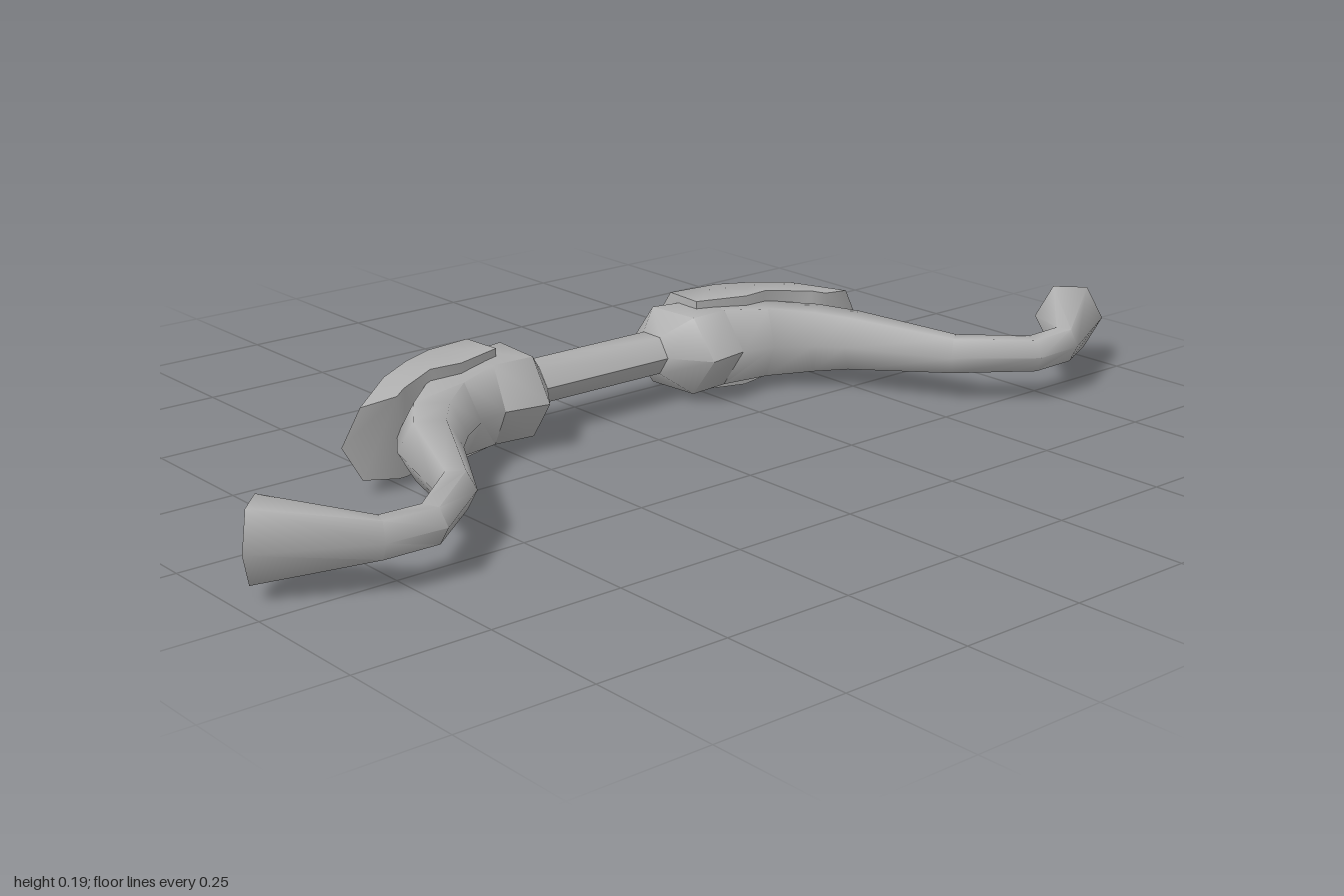
import * as THREE from 'three';
import { mergeVertices, toCreasedNormals } from 'three/addons/utils/BufferGeometryUtils.js';

const MID = 0.094; // height of the bow's mid plane
const metal = new THREE.MeshStandardMaterial({ color: 0xb0b0b0 });
metal.name = 'grey metal';

// Skin a row of closed rings and cap both ends; side = -1 mirrors in z
function loft(name, rings, side = 1) {
  const n = rings[0].length;
  const pos = [], idx = [];
  const tri = (a, b, c) => (side > 0 ? idx.push(a, b, c) : idx.push(a, c, b));
  for (const ring of rings) for (const [x, y, z] of ring) pos.push(x, MID + y, z * side);
  for (let i = 0; i < rings.length - 1; i++) {
    for (let j = 0; j < n; j++) {
      const a = i * n + j, b = i * n + (j + 1) % n;
      tri(a, b, b + n);
      tri(a, b + n, a + n);
    }
  }
  const end = (rings.length - 1) * n;
  for (let j = 1; j < n - 1; j++) {
    tri(0, j + 1, j);
    tri(end, end + j, end + j + 1);
  }
  const geo = new THREE.BufferGeometry();
  geo.setAttribute('position', new THREE.Float32BufferAttribute(pos, 3));
  geo.setIndex(idx);
  const mesh = new THREE.Mesh(toCreasedNormals(mergeVertices(geo), 1.12), metal);
  mesh.name = name;
  return mesh;
}

// Six-sided ring between an outer and an inner point, with half height h
function hexRing([ox, oz, ix, iz, h]) {
  return Array.from({ length: 6 }, (_, k) => {
    const a = k * Math.PI / 3, c = Math.cos(a) / 2;
    return [
      (ox + ix) / 2 + (ix - ox) * c,
      Math.sin(a) / Math.sin(Math.PI / 3) * h,
      (oz + iz) / 2 + (iz - oz) * c,
    ];
  });
}

// Guard ring: inner edge, shoulder and outer ridge, mirrored in height
function guardRing([ax, az, cx, cz, ch, ex, ez, eh]) {
  return [[ex, eh, ez], [cx, ch, cz], [ax, 0, az], [cx, -ch, cz], [ex, -eh, ez]];
}

// outer x, z, inner x, z, half height
const GRIP = [
  [-0.245, -0.16, -0.145, -0.16, 0.036],
  [-0.245, 0.16, -0.145, 0.16, 0.036],
];
const COLLAR = [
  [-0.245, 0.148, -0.145, 0.145, 0.037],
  [-0.292, 0.18, -0.07, 0.197, 0.076],
  [-0.27, 0.25, -0.085, 0.285, 0.075],
];
const LIMB = [
  [-0.27, 0.25, -0.085, 0.285, 0.075],
  [-0.2, 0.4, -0.068, 0.35, 0.068],
  [-0.105, 0.505, -0.025, 0.41, 0.06],
  [-0.03, 0.555, 0.02, 0.452, 0.052],
  [0.165, 0.615, 0.205, 0.558, 0.034],
  [0.25, 0.715, 0.313, 0.692, 0.031],
  [0.25, 0.785, 0.307, 0.805, 0.032],
  [0.11, 0.905, 0.207, 0.998, 0.063],
];
// ridge x, z, shoulder x, z, h, edge x, z, h
const GUARD = [
  [-0.316, 0.24, -0.255, 0.245, 0.09, -0.172, 0.24, 0.09],
  [-0.287, 0.36, -0.235, 0.345, 0.093, -0.14, 0.34, 0.09],
  [-0.26, 0.43, -0.21, 0.41, 0.091, -0.15, 0.4, 0.088],
  [-0.22, 0.5, -0.17, 0.485, 0.086, -0.108, 0.485, 0.081],
  [-0.11, 0.615, -0.105, 0.578, 0.066, -0.093, 0.51, 0.075],
];

export function createModel() {
  const bow = new THREE.Group();
  bow.name = 'bow';
  bow.add(loft('grip', GRIP.map(hexRing)));
  // Two mirrored arms
  for (const [label, side] of [['front', 1], ['back', -1]]) {
    const arm = new THREE.Group();
    arm.name = label + 'Arm';
    arm.add(
      loft(label + 'Collar', COLLAR.map(hexRing), side),
      loft(label + 'Limb', LIMB.map(hexRing), side),
      loft(label + 'Guard', GUARD.map(guardRing), side),
    );
    bow.add(arm);
  }
  return bow;
}
